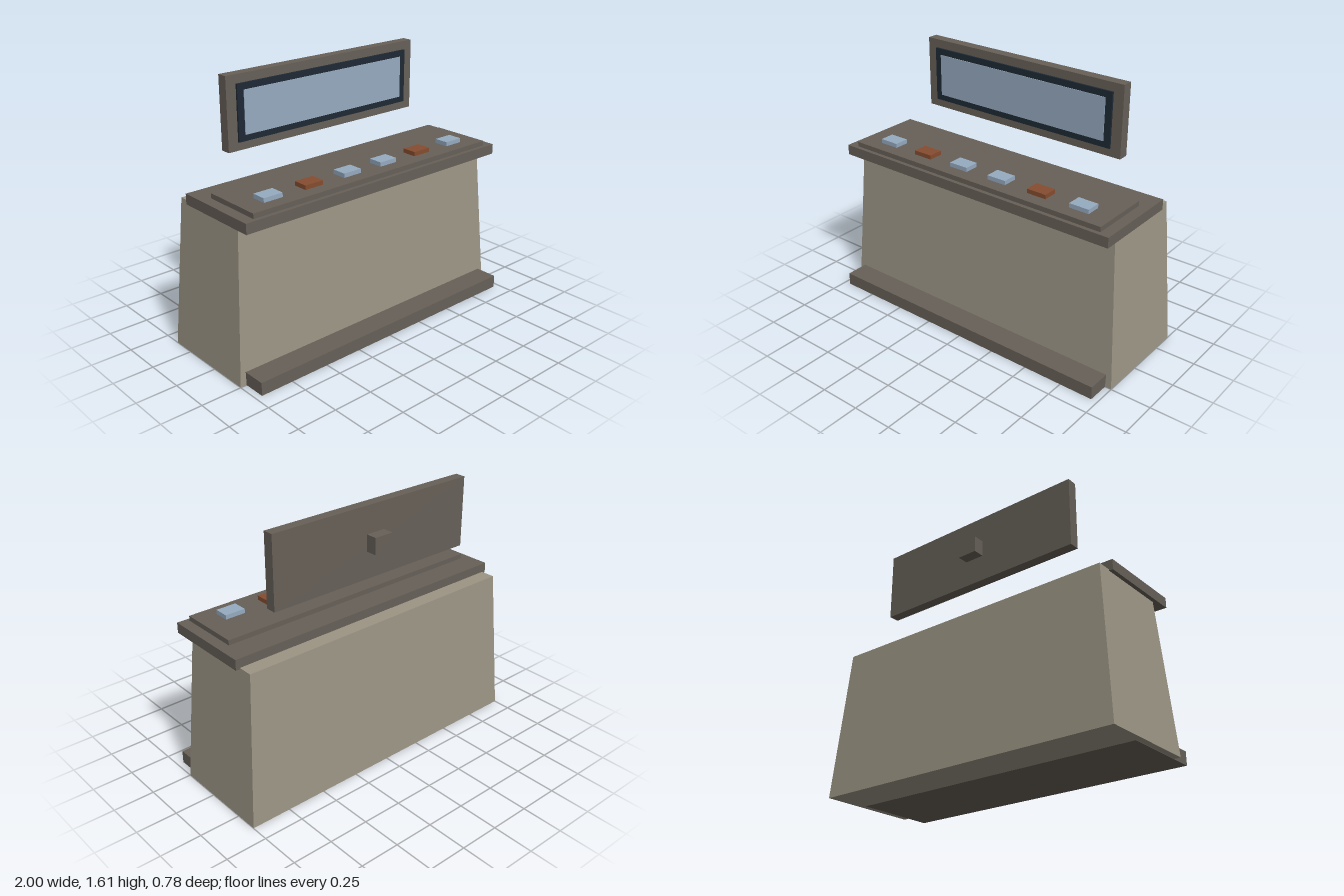
import * as THREE from 'three';

const mat = (name, color) => {
  const m = new THREE.MeshStandardMaterial({ color });
  m.name = name;
  return m;
};

export function createModel() {
  const group = new THREE.Group();
  const stone = mat('warm grey', 0x9c9585);
  const trim = mat('dark grey', 0x676058);
  const bezel = mat('navy', 0x1f2a35);
  const glass = mat('pale blue', 0x96abc0);
  const rust = mat('rust', 0x864d2f);

  // Box given by its extents on each axis
  const box = (name, material, [x0, x1], [y0, y1], [z0, z1]) => {
    const mesh = new THREE.Mesh(new THREE.BoxGeometry(x1 - x0, y1 - y0, z1 - z0), material);
    mesh.position.set((x0 + x1) / 2, (y0 + y1) / 2, (z0 + z1) / 2);
    mesh.name = name;
    group.add(mesh);
    return mesh;
  };

  // Tapered pedestal: pull the top corners of a box inwards
  const pedestal = box('pedestal', stone, [-1, 1], [0.001, 0.925], [-0.39, 0.25]);
  const pos = pedestal.geometry.attributes.position;
  for (let i = 0; i < pos.count; i++) {
    if (pos.getY(i) > 0) {
      pos.setX(i, pos.getX(i) * 0.935);
      pos.setZ(i, pos.getZ(i) * 0.844);
    }
  }
  pedestal.geometry = pedestal.geometry.toNonIndexed();
  pedestal.geometry.computeVertexNormals();

  // Foot step, desk top and raised control panel
  box('footStep', trim, [-0.96, 0.96], [0, 0.08], [-0.13, 0.39]);
  box('deskTop', trim, [-0.96, 0.96], [0.917, 0.98], [-0.25, 0.31]);
  box('controlPanel', trim, [-0.895, 0.895], [0.98, 1.01], [-0.098, 0.285]);

  // Row of buttons, mirrored about the centre
  for (const side of [-1, 1]) {
    [0.141, 0.422, 0.704].forEach((d, i) => {
      const x = side * d;
      box('button', i === 1 ? rust : glass, [x - 0.063, x + 0.063], [1.01, 1.036], [0.112, 0.204]);
    });
  }

  // Floating display with its rear mount
  box('displayFrame', trim, [-0.705, 0.705], [1.17, 1.605], [-0.255, -0.19]);
  box('displayBezel', bezel, [-0.64, 0.64], [1.22, 1.553], [-0.19, -0.178]);
  box('displayScreen', glass, [-0.598, 0.598], [1.257, 1.515], [-0.178, -0.174]);
  box('displayMount', trim, [-0.063, 0.063], [1.337, 1.438], [-0.325, -0.255]);

  return group;
}
